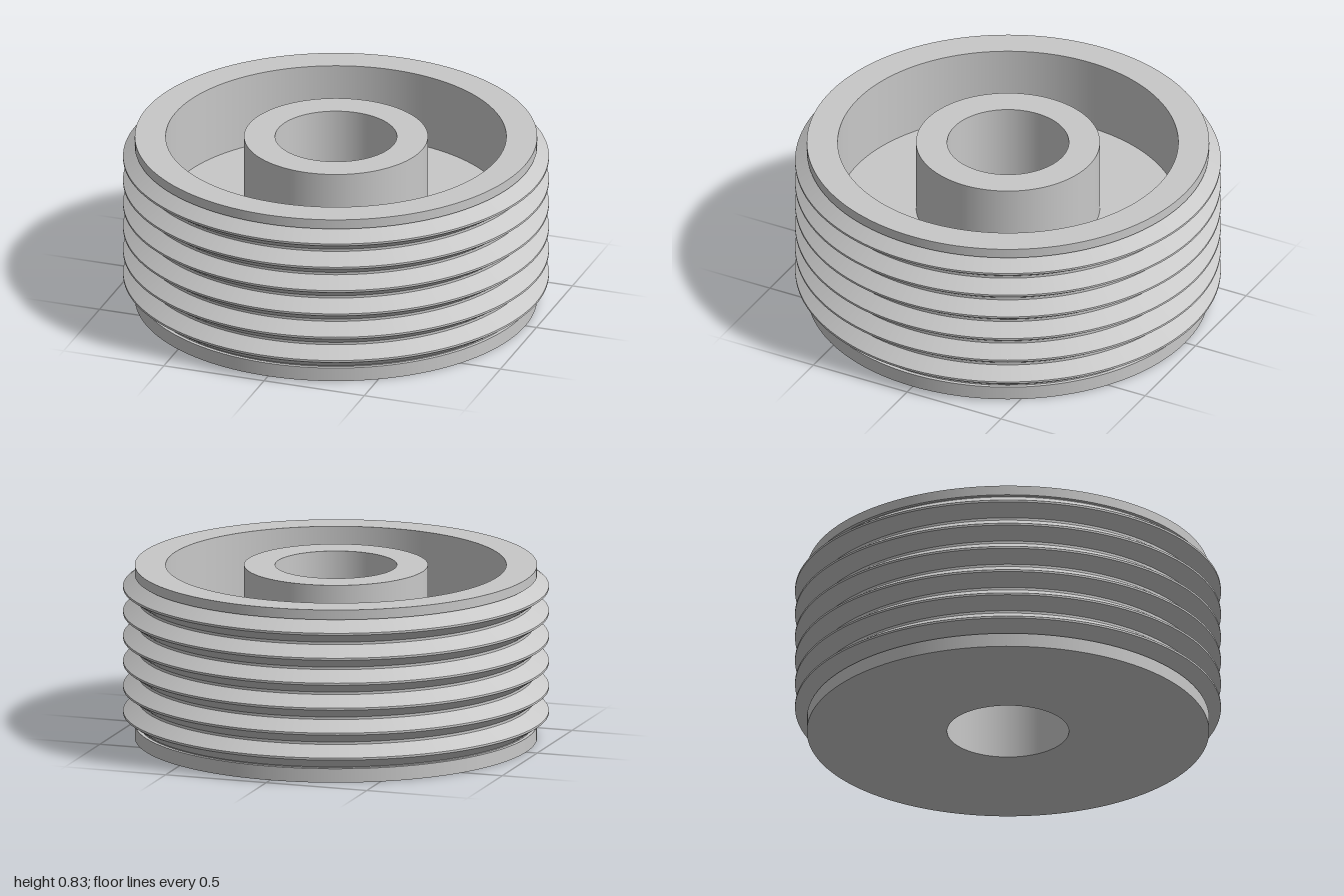
import * as THREE from 'three';
import { mergeGeometries } from 'three/addons/utils/BufferGeometryUtils.js';

const SEGMENTS = 128;

// Revolves an [r, y] profile, one lathe per straight run so profile corners stay sharp.
// Profiles run counter-clockwise: outward along the bottom, up the outside, inward on top.
function turned(name, profile, material) {
  const runs = [];
  for (let i = 0; i < profile.length - 1; i++) {
    const ends = [profile[i], profile[i + 1]].map(([r, y]) => new THREE.Vector2(r, y));
    runs.push(new THREE.LatheGeometry(ends, SEGMENTS));
  }
  const mesh = new THREE.Mesh(mergeGeometries(runs), material);
  mesh.name = name;
  return mesh;
}

export function createModel() {
  const metal = new THREE.MeshStandardMaterial({ color: 0xc8c8c8 });
  metal.name = 'lightGreyMetal';

  const height = 0.832, floorY = 0.47;
  const bore = 0.286, hubR = 0.432, cavityR = 0.8;
  const collarR = 0.945, rootR = 0.928, ridgeR = 1;
  const ridges = 6, pitch = 0.1203, firstRidge = 0.126;

  // Stacked V-shaped ridges with narrow flats at crest and root
  const ridgeProfile = [[rootR, 0.067]];
  for (let i = 0; i < ridges; i++) {
    const y = firstRidge + i * pitch;
    ridgeProfile.push([rootR, y - 0.054], [ridgeR, y - 0.005], [ridgeR, y + 0.005], [rootR, y + 0.054]);
  }
  ridgeProfile.push([rootR, 0.785]);

  const model = new THREE.Group();
  model.name = 'groovedPulley';
  model.add(
    // Flat underside and lower collar
    turned('base', [[bore, 0], [collarR, 0], [collarR, 0.067], [rootR, 0.067]], metal),
    turned('ridges', ridgeProfile, metal),
    // Upper collar, top face and inner wall of the recess
    turned('rim', [[rootR, 0.785], [collarR, 0.785], [collarR, height], [cavityR, height], [cavityR, floorY]], metal),
    turned('recessFloor', [[cavityR, floorY], [hubR, floorY]], metal),
    // Central hub with a through bore
    turned('hub', [[hubR, floorY], [hubR, height], [bore, height], [bore, 0]], metal)
  );
  return model;
}
